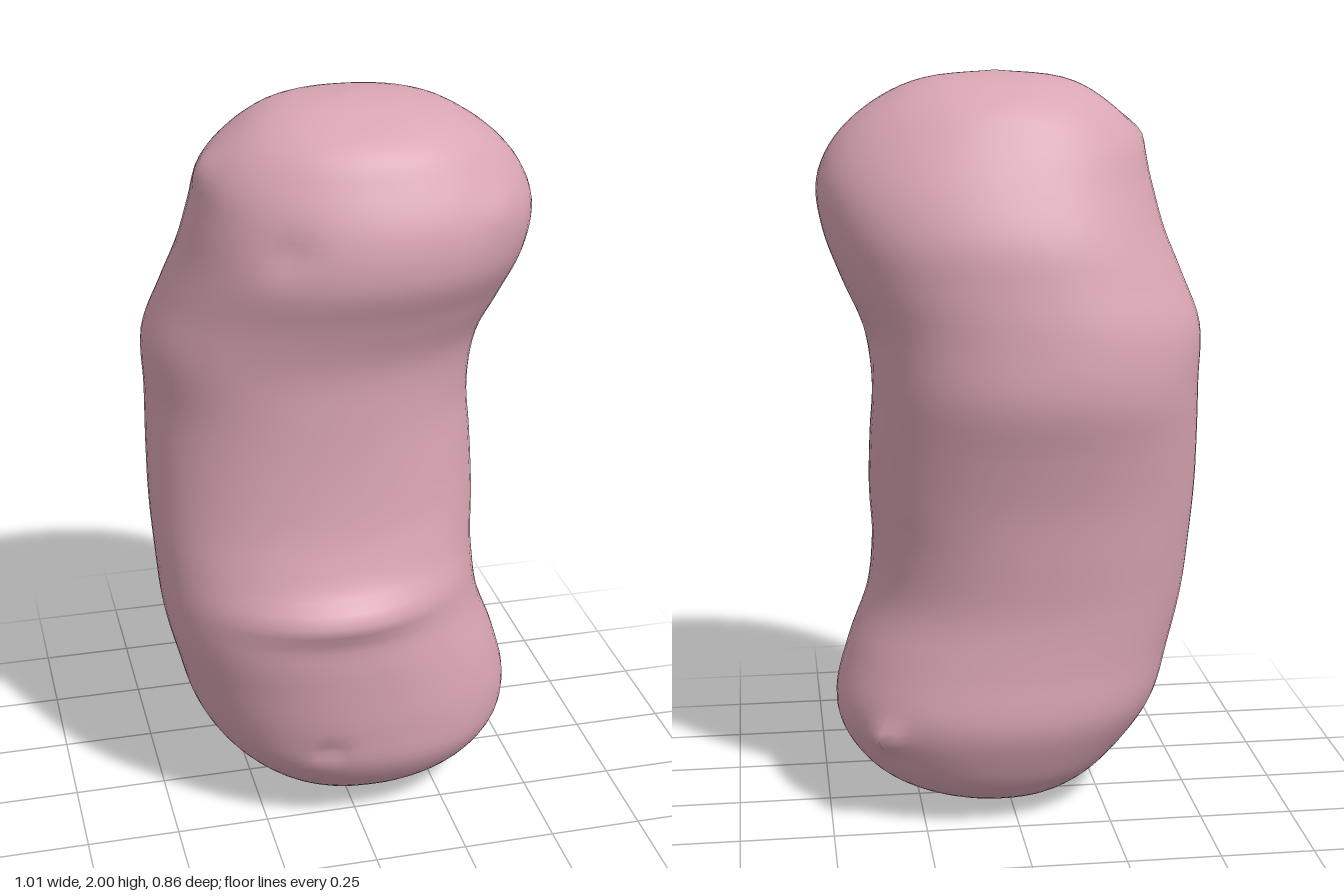
import * as THREE from 'three';

// Cross-sections from bottom to top: [y, xMin, xMax, zMin, zMax]
const SECTIONS = [
  [0.0, -0.01, -0.01, 0.0, 0.0],
  [0.03, -0.14, 0.2, -0.13, 0.17],
  [0.1, -0.25, 0.36, -0.24, 0.29],
  [0.2, -0.345, 0.45, -0.3, 0.365],
  [0.31, -0.41, 0.475, -0.335, 0.385],
  [0.45, -0.45, 0.44, -0.325, 0.395],
  [0.6, -0.485, 0.385, -0.32, 0.4],
  [0.75, -0.498, 0.37, -0.335, 0.375],
  [0.9, -0.505, 0.378, -0.355, 0.335],
  [1.05, -0.503, 0.375, -0.39, 0.318],
  [1.2, -0.498, 0.368, -0.428, 0.313],
  [1.35, -0.5, 0.39, -0.422, 0.318],
  [1.48, -0.455, 0.445, -0.405, 0.355],
  [1.6, -0.41, 0.488, -0.385, 0.4],
  [1.72, -0.38, 0.5, -0.335, 0.395],
  [1.83, -0.35, 0.45, -0.275, 0.35],
  [1.92, -0.265, 0.35, -0.21, 0.29],
  [1.98, -0.15, 0.22, -0.105, 0.16],
  [2.0, 0.03, 0.03, 0.04, 0.04],
];

// Small bumps and dimples: [x, y, z, height, spread]
const BUMPS = [
  [0.36, 0.26, -0.23, 0.035, 0.04],
  [-0.1, 0.27, 0.36, -0.02, 0.03],
  [0.34, 1.32, -0.13, -0.02, 0.06],
  [0.33, 1.74, 0.28, 0.02, 0.04],
  [-0.2, 1.69, 0.36, -0.015, 0.05],
  [-0.35, 1.84, 0.05, 0.015, 0.05],
];

const RINGS = 90, SIDES = 64;
const spow = (v, p) => Math.sign(v) * Math.abs(v) ** p;
const gauss = (d, s) => Math.exp(-((d / s) ** 2));

function bodyGeometry() {
  const spline = (f) => new THREE.CatmullRomCurve3(SECTIONS.map(f), false, 'catmullrom', 0.5);
  const centres = spline(([y, a, b, c, d]) => new THREE.Vector3((a + b) / 2, y, (c + d) / 2));
  const radii = spline(([, a, b, c, d]) => new THREE.Vector3((b - a) / 2, 0, (d - c) / 2));

  const pos = [], index = [];
  const v = new THREE.Vector3(), out = new THREE.Vector3();
  for (let i = 1; i < RINGS; i++) {
    const c = centres.getPoint(i / RINGS), r = radii.getPoint(i / RINGS);
    for (let j = 0; j < SIDES; j++) {
      const a = (j / SIDES) * Math.PI * 2;
      out.set(Math.sin(a), 0, Math.cos(a));
      v.set(c.x + r.x * spow(out.x, 0.93), c.y, c.z + r.z * spow(out.z, 0.93));
      // Soft fold across the front
      if (v.z > 0) v.z += 0.045 * gauss(v.y - 0.69, 0.05) * gauss(v.x + 0.05, 0.26);
      for (const [x, y, z, h, s] of BUMPS) {
        v.addScaledVector(out, h * gauss(Math.hypot(v.x - x, v.y - y, v.z - z), s));
      }
      pos.push(v.x, v.y, v.z);
    }
  }
  // Skin between rings
  for (let i = 0; i < RINGS - 2; i++) {
    for (let j = 0; j < SIDES; j++) {
      const k = (j + 1) % SIDES;
      const a = i * SIDES + j, b = i * SIDES + k;
      index.push(a, b, b + SIDES, a, b + SIDES, a + SIDES);
    }
  }
  // Closing fans at both ends
  const bottom = pos.length / 3, top = bottom + 1, last = (RINGS - 2) * SIDES;
  pos.push(...centres.getPoint(0).toArray(), ...centres.getPoint(1).toArray());
  for (let j = 0; j < SIDES; j++) {
    const k = (j + 1) % SIDES;
    index.push(bottom, k, j, top, last + j, last + k);
  }
  const g = new THREE.BufferGeometry();
  g.setAttribute('position', new THREE.Float32BufferAttribute(pos, 3));
  g.setIndex(index);
  g.computeVertexNormals();
  return g;
}

export function createModel() {
  const pink = new THREE.MeshStandardMaterial({ color: 0xd9a5b3 });
  pink.name = 'dusty pink';
  const body = new THREE.Mesh(bodyGeometry(), pink);
  body.name = 'beanBody';
  const group = new THREE.Group();
  group.name = 'bean';
  group.add(body);
  return group;
}
